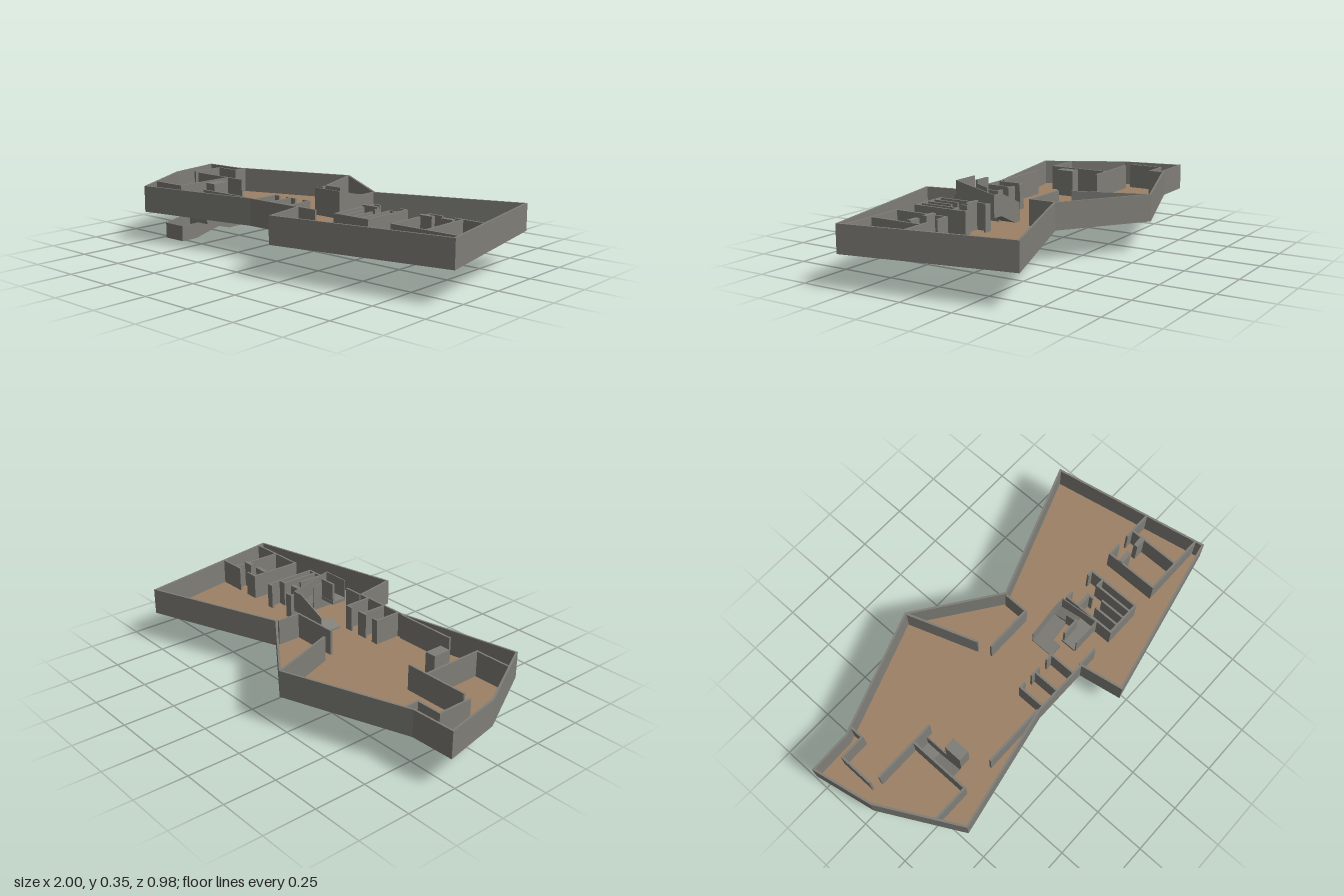
import * as THREE from 'three';

const grey = new THREE.MeshStandardMaterial({ color: 0x7f7e78 });
grey.name = 'wall grey';
const tan = new THREE.MeshStandardMaterial({ color: 0x9e8167 });
tan.name = 'floor tan';

const FLOOR = 0.15, TOP = 0.275, T = 0.01;

// Outer plan as [x, z]
const plan = [[-1, -0.278], [-0.79, -0.283], [-0.197, -0.493], [0.19, -0.218], [0.852, -0.459], [1, 0.316],
  [0.188, 0.491], [0.15, 0.283], [-0.13, 0.283], [-0.733, 0.4], [-0.94, 0.02]];
const stairwell = [[-0.61, -0.038], [-0.535, -0.038], [-0.535, 0.18], [-0.61, 0.18]];

// Counter-clockwise outline, so that holes get walls facing into them
const toVec = (pts) => pts.map(([x, z]) => new THREE.Vector2(x, -z)).reverse();

// Move every edge of the plan inwards by d, with mitred corners
function inset(pts, d) {
  return pts.map((p, i) => {
    const a = pts[(i + pts.length - 1) % pts.length], b = pts[(i + 1) % pts.length];
    const l1 = Math.hypot(p[0] - a[0], p[1] - a[1]), l2 = Math.hypot(b[0] - p[0], b[1] - p[1]);
    const n1 = [-(p[1] - a[1]) / l1, (p[0] - a[0]) / l1];
    const n2 = [-(b[1] - p[1]) / l2, (b[0] - p[0]) / l2];
    const k = d / (1 + n1[0] * n2[0] + n1[1] * n2[1]);
    return [p[0] + (n1[0] + n2[0]) * k, p[1] + (n1[1] + n2[1]) * k];
  });
}

function planShape(pts, hole) {
  const shape = new THREE.Shape(toVec(pts));
  shape.holes.push(new THREE.Path(toVec(hole)));
  return shape;
}

export function createModel() {
  const model = new THREE.Group();
  model.name = 'floorPlanBuilding';

  const group = (name) => {
    const g = new THREE.Group();
    g.name = name;
    model.add(g);
    return g;
  };
  const add = (parent, name, geo, mat = grey) => {
    const m = new THREE.Mesh(geo, mat);
    m.name = name;
    parent.add(m);
    return m;
  };
  const block = (parent, name, x0, x1, y0, y1, z0, z1) =>
    add(parent, name, new THREE.BoxGeometry(x1 - x0, y1 - y0, z1 - z0)
      .translate((x0 + x1) / 2, (y0 + y1) / 2, (z0 + z1) / 2));
  const slab = (name, shape, y0, y1) =>
    add(model, name, new THREE.ExtrudeGeometry(shape, { depth: y1 - y0, bevelEnabled: false })
      .rotateX(-Math.PI / 2).translate(0, y0, 0));
  // Profile of [z, y] points pulled along x
  const alongX = (parent, name, pts, x0, x1) =>
    add(parent, name, new THREE.ExtrudeGeometry(
      new THREE.Shape(pts.map(([z, y]) => new THREE.Vector2(-z, y))), { depth: x1 - x0, bevelEnabled: false })
      .rotateY(Math.PI / 2).translate(x0, 0, 0));
  // Profile of [x, y] points pulled along z
  const alongZ = (parent, name, pts, z0, z1) =>
    add(parent, name, new THREE.ExtrudeGeometry(
      new THREE.Shape(pts.map(([x, y]) => new THREE.Vector2(x, y))), { depth: z1 - z0, bevelEnabled: false })
      .translate(0, 0, z0));
  // Upright wall between two plan points
  const wall = (parent, x0, z0, x1, z1) => {
    const m = add(parent, 'partition',
      new THREE.BoxGeometry(Math.hypot(x1 - x0, z1 - z0) + T, TOP - FLOOR, T));
    m.position.set((x0 + x1) / 2, (FLOOR + TOP) / 2, (z0 + z1) / 2);
    m.rotation.y = -Math.atan2(z1 - z0, x1 - x0);
  };

  // Floor slab, floor finish and outer wall
  slab('floorSlab', planShape(plan, stairwell), 0.149, 0.152);
  add(model, 'floorFinish', new THREE.ShapeGeometry(planShape(inset(plan, T / 2), stairwell))
    .rotateX(-Math.PI / 2).translate(0, 0.1535, 0), tan);
  slab('outerWall', planShape(plan, inset(plan, T)), 0.1495, TOP);

  // Partition walls as [x0, z0, x1, z1]
  const rooms = {
    westRoomWalls: [[-0.75, -0.285, -0.75, -0.22], [-0.75, -0.22, -0.872, -0.22], [-0.872, -0.22, -0.872, -0.053],
      [-0.825, -0.037, -0.515, -0.037], [-0.613, -0.03, -0.613, 0.272], [-0.795, 0.272, -0.613, 0.272],
      [-0.445, 0.272, -0.14, 0.272]],
    northRoomWalls: [[-0.193, -0.475, -0.078, -0.15], [-0.05, -0.086, 0.183, -0.086], [0.183, -0.2, 0.183, -0.086]],
    boothWalls: [[-0.108, 0.145, -0.108, 0.275], [-0.108, 0.145, -0.083, 0.145], [-0.01, 0.145, -0.01, 0.275],
      [-0.03, 0.145, 0.015, 0.145], [0.102, 0.145, 0.102, 0.275], [0.072, 0.145, 0.102, 0.145],
      [0.16, 0.273, 0.25, 0.273]],
    washroomWalls: [[0.366, 0.012, 0.366, 0.273], [0.366, 0.012, 0.395, 0.012], [0.366, 0.273, 0.542, 0.273],
      [0.542, 0.012, 0.542, 0.273], [0.517, 0.012, 0.542, 0.012], [0.413, 0.148, 0.413, 0.273],
      [0.459, 0.148, 0.459, 0.273], [0.503, 0.078, 0.503, 0.273], [0.503, 0.078, 0.542, 0.078],
      [0.44, 0.078, 0.44, 0.1]],
    eastRoomWalls: [[0.668, 0.017, 0.668, 0.275], [0.668, 0.017, 0.727, 0.017], [0.795, 0.017, 0.933, 0.017],
      [0.832, 0.017, 0.832, 0.275], [0.668, 0.275, 0.985, 0.275]],
  };
  for (const [name, walls] of Object.entries(rooms)) {
    const g = group(name);
    walls.forEach((w) => wall(g, ...w));
  }

  // Slightly taller cupboards
  const cupboards = group('cupboards');
  [[0.36, 0.44, 0.072, 0.087], [0.665, 0.73, 0.07, 0.092], [0.775, 0.83, 0.07, 0.092]]
    .forEach(([x0, x1, z0, z1]) => block(cupboards, 'cupboard', x0, x1, FLOOR, 0.283, z0, z1));
  block(cupboards, 'stairCabinet', -0.54, -0.485, 0.145, 0.283, 0.085, 0.175);

  // Staircase to the level above: three flights around a small well
  const up = group('upperStair');
  alongZ(up, 'firstFlight', [[0.13, 0.15], [0.16, 0.15], [0.28, 0.205], [0.28, 0.22], [0.13, 0.16]], 0.01, 0.08);
  alongZ(up, 'entryStep', [[0.13, 0.15], [0.19, 0.15], [0.19, 0.184], [0.13, 0.16]], 0.08, 0.125);
  alongX(up, 'secondFlight', [[0.01, 0.205], [0.125, 0.25], [0.205, 0.25], [0.205, 0.265], [0.125, 0.265],
    [0.01, 0.22]], 0.28, 0.335);
  block(up, 'upperLanding', 0.19, 0.28, 0.25, 0.265, 0.13, 0.205);
  alongZ(up, 'firstParapet', [[0.13, 0.15], [0.16, 0.15], [0.28, 0.205], [0.335, 0.205], [0.335, 0.308],
    [0.28, 0.308], [0.13, 0.24]], 0.006, 0.011);
  alongX(up, 'sideParapet', [[0.006, 0.205], [0.125, 0.25], [0.21, 0.25], [0.21, 0.355], [0.006, 0.308]], 0.33, 0.335);
  block(up, 'frontParapet', 0.195, 0.335, 0.25, 0.355, 0.205, 0.21);
  block(up, 'innerParapet', 0.195, 0.28, 0.25, 0.355, 0.132, 0.142);
  alongX(up, 'wellParapet', [[0.08, 0.22], [0.14, 0.25], [0.14, 0.34], [0.08, 0.325]], 0.276, 0.281);

  // Staircase to the level below: two ramps with a landing between
  const down = group('lowerStair');
  alongX(down, 'upperRamp', [[0.18, 0.08], [0.035, 0.04], [-0.045, 0.04], [-0.045, 0.05], [0.035, 0.05], [0.18, 0.092]],
    -0.61, -0.535);
  alongX(down, 'upperSideWall', [[0.185, 0.15], [0.175, 0.08], [0.035, 0.04], [-0.045, 0.04], [-0.045, 0.15]],
    -0.54, -0.535);
  block(down, 'upperEndWall', -0.61, -0.535, 0.08, 0.15, 0.175, 0.18);
  block(down, 'landingBackWall', -0.73, -0.535, 0.04, 0.15, -0.045, -0.04);
  alongX(down, 'lowerRamp', [[-0.045, 0.04], [0.035, 0.036], [0.105, 0.02], [0.185, 0], [0.275, 0], [0.275, 0.01],
    [0.185, 0.01], [0.035, 0.05], [-0.045, 0.05]], -0.73, -0.61);
  alongX(down, 'lowerOuterWall', [[-0.045, 0.15], [-0.045, 0.04], [0.105, 0.02], [0.185, 0], [0.275, 0],
    [0.275, 0.075], [0.175, 0.095], [0.175, 0.15]], -0.73, -0.725);
  alongX(down, 'lowerInnerWall', [[0.035, 0.15], [0.035, 0.036], [0.105, 0.02], [0.185, 0], [0.275, 0],
    [0.275, 0.075], [0.18, 0.075], [0.18, 0.15]], -0.615, -0.61);
  block(down, 'lowerEndWall', -0.73, -0.61, 0, 0.075, 0.27, 0.275);
  block(down, 'innerStep', -0.66, -0.615, 0.02, 0.115, 0.17, 0.18);

  return model;
}
